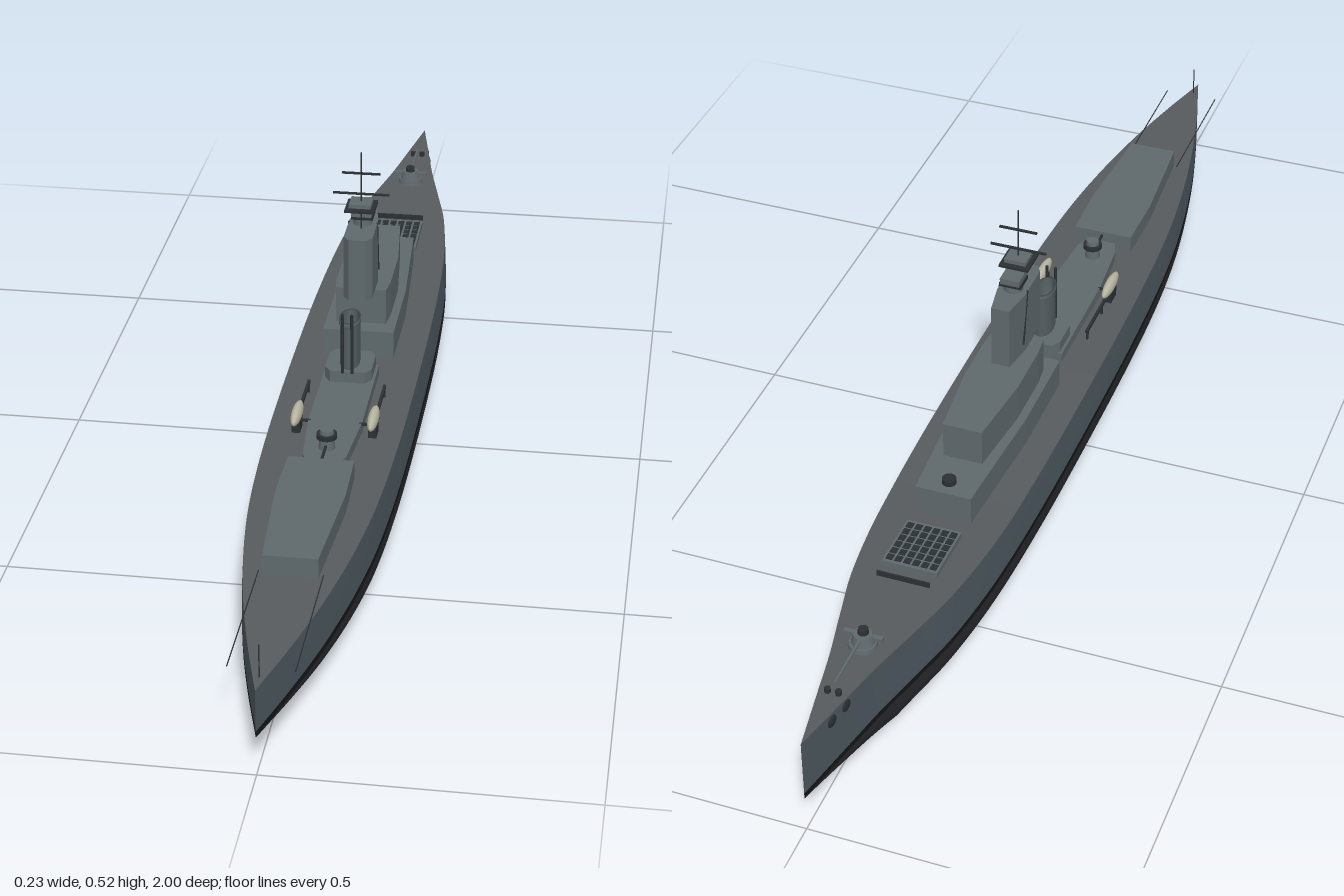
import * as THREE from 'three';

const mat = (color, side = THREE.FrontSide) => new THREE.MeshStandardMaterial({ color, side });
const M = {
  hull: mat(0x4d5960), deck: mat(0x575b5e), band: mat(0x151617), bottom: mat(0x2a2a2d),
  house: mat(0x5f696d), dark: mat(0x2b3033), boat: mat(0xb9b6a2),
};

// Half-breadth of the deck along the length, as (z, width) stations
const stations = new THREE.SplineCurve([
  [-1, 0], [-0.9, 0.02], [-0.8, 0.04], [-0.7, 0.064], [-0.6, 0.086], [-0.45, 0.103], [-0.25, 0.111], [0, 0.113],
  [0.25, 0.111], [0.45, 0.103], [0.6, 0.088], [0.75, 0.063], [0.88, 0.033], [1, 0],
].map(p => new THREE.Vector2(...p))).getPoints(78).map(p => [p.x, Math.max(p.y, 0)]);

const deckY = z => z < -0.4 ? 0.149 + 0.029 * Math.pow((-0.4 - z) / 0.6, 1.1) : 0.149 - 0.004 * Math.max(z, 0);
const keelY = z => z > 0.3 ? 0.065 * Math.pow((z - 0.3) / 0.7, 2.2) : z < -0.75 ? 0.065 * (-0.75 - z) / 0.25 : 0;

// Surface lofted through one cross-section path per station
function loft(path) {
  const pos = [], idx = [];
  let n = 0;
  stations.forEach(([z, w], i) => {
    const pts = path(z, w);
    n = pts.length;
    pts.forEach(([x, y], j) => {
      pos.push(x, y, z);
      if (i && j) {
        const d = i * n + j, c = d - 1, b = d - n, a = b - 1;
        idx.push(a, c, b, b, c, d);
      }
    });
  });
  const g = new THREE.BufferGeometry();
  g.setAttribute('position', new THREE.Float32BufferAttribute(pos, 3));
  g.setIndex(idx);
  g.computeVertexNormals();
  return g;
}

// Rounded underwater section, sharper towards the ends
function bilge(z, w) {
  const k = keelY(z), p = 0.55 + 0.45 * Math.pow(Math.abs(z), 4), pts = [];
  for (let j = 0; j <= 28; j++) {
    const a = Math.PI * j / 28, c = Math.cos(a);
    const x = j === 14 ? 0 : Math.sign(c) * Math.pow(Math.abs(c), p);
    const s = j % 28 ? Math.pow(Math.sin(a), p) : 0;
    pts.push([w * 1.035 * x, 0.065 - (0.065 - k) * s]);
  }
  return pts;
}

export function createModel() {
  const root = new THREE.Group();
  const add = (name, geo, m, x = 0, y = 0, z = 0, parent = root) => {
    const mesh = new THREE.Mesh(geo, m);
    mesh.name = name;
    mesh.position.set(x, y, z);
    parent.add(mesh);
    return mesh;
  };
  const box = (name, w, h, d, x, y, z, m = M.house, parent = root) =>
    add(name, new THREE.BoxGeometry(w, h, d), m, x, y, z, parent);
  const drum = (name, r0, r1, h, x, y, z, m = M.house, parent = root) =>
    add(name, new THREE.CylinderGeometry(r1, r0, h, 20), m, x, y, z, parent);
  // Prism from a mirrored half plan of (x, z) corners
  const house = (name, half, y0, y1, m = M.house) => {
    const plan = [...half, ...half.map(([x, z]) => [-x, z]).reverse()];
    const g = new THREE.ExtrudeGeometry(new THREE.Shape(plan.map(([x, z]) => new THREE.Vector2(x, -z))),
      { depth: y1 - y0, bevelEnabled: false });
    return add(name, g.rotateX(-Math.PI / 2), m, 0, y0, 0);
  };

  // Hull
  add('deck', loft((z, w) => [[-w, deckY(z)], [0, deckY(z)], [w, deckY(z)]]), M.deck);
  add('bottom', loft(bilge), M.bottom);
  for (const s of [1, -1]) {
    const side = pts => s > 0 ? pts : pts.map(([x, y]) => [-x, y]).reverse();
    add('hullSide', loft((z, w) => side([[w, deckY(z)], [w * 1.025, 0.11], [w * 1.035, 0.075]])), M.hull);
    add('waterlineBand', loft((z, w) => side([[w * 1.035, 0.075], [w * 1.035, 0.065]])), M.band);
    // Anchor recesses
    for (const [z, x] of [[-0.885, 0.0225], [-0.922, 0.0155]]) {
      const a = add('anchorRecess', new THREE.SphereGeometry(0.011, 16, 10), M.dark, s * x, 0.158, z);
      a.scale.set(0.28, 1, 1);
      a.rotation.y = s * 0.2;
    }
    // Stern rails
    box('sternRail', 0.0015, 0.0015, 0.26, s * 0.05, 0.149, 0.82, M.dark);
  }
  drum('flagStaff', 0.001, 0.001, 0.06, 0, 0.17, 0.965, M.dark);

  // Deckhouses
  house('sternHouse', [[0.054, 0.39], [0.056, 0.5], [0.043, 0.695]], 0.135, 0.18);
  house('midHouse', [[0.045, 0.03], [0.045, 0.24], [0.036, 0.355], [0.026, 0.38]], 0.135, 0.167);
  house('lowerBridge', [[0.062, -0.03], [0.062, -0.2], [0.048, -0.425]], 0.135, 0.2);
  house('upperBridge', [[0.044, -0.063], [0.048, -0.1], [0.048, -0.2], [0.034, -0.335]], 0.2, 0.265);

  // Tower and director
  house('tower', [[0.015, -0.015], [0.025, -0.028], [0.025, -0.1], [0.016, -0.155]], 0.265, 0.38);
  for (const s of [1, -1]) {
    const leg = box('towerStrut', 0.003, 0.1, 0.003, s * 0.0245, 0.332, -0.1, M.dark);
    leg.rotation.x = 0.2;
  }
  drum('directorBase', 0.017, 0.015, 0.02, 0, 0.388, -0.09);
  box('directorSlit', 0.038, 0.007, 0.036, 0, 0.396, -0.09, M.dark);
  box('director', 0.034, 0.011, 0.04, 0, 0.404, -0.09);
  box('mastPlatform', 0.052, 0.004, 0.052, 0, 0.421, -0.066, M.dark);
  box('mastCap', 0.038, 0.007, 0.036, 0, 0.428, -0.066);

  // Mast
  drum('mast', 0.0015, 0.001, 0.143, 0, 0.4505, -0.066, M.dark);
  box('lowerYard', 0.098, 0.003, 0.004, 0, 0.445, -0.066, M.dark);
  box('upperYard', 0.066, 0.003, 0.004, 0, 0.483, -0.066, M.dark);

  // Funnel with open top and steam pipes
  house('funnelBase', [[0.03, 0.02], [0.04, 0.035], [0.04, 0.088], [0.03, 0.102]], 0.15, 0.188);
  const r = [[0.95, 0], [1, 0.004], [1, 0.078], [1.08, 0.08], [1.08, 0.088], [0.88, 0.088], [0.88, 0.03], [0, 0.03]];
  const funnel = add('funnel', new THREE.LatheGeometry(r.map(([a, b]) => new THREE.Vector2(a * 0.017, b)), 28),
    mat(0x545e62, THREE.DoubleSide), 0, 0.187, 0.067);
  funnel.scale.z = 1.75;
  for (const s of [1, -1]) drum('steamPipe', 0.0028, 0.0028, 0.11, s * 0.008, 0.24, 0.101, M.dark);

  // Aft gun tub
  drum('aftTubBase', 0.014, 0.012, 0.022, 0, 0.176, 0.33);
  drum('aftTub', 0.017, 0.017, 0.008, 0, 0.19, 0.33, M.dark);
  drum('aftTubTop', 0.012, 0.011, 0.008, 0, 0.197, 0.33);
  box('aftGun', 0.004, 0.004, 0.05, 0, 0.176, 0.36, M.dark);

  // Boats and their booms
  for (const s of [1, -1]) {
    const boat = add('boat', new THREE.SphereGeometry(1, 20, 14), M.boat, s * 0.064, 0.177, 0.24);
    boat.scale.set(0.009, 0.013, 0.04);
    box('boatCradle', 0.014, 0.02, 0.03, s * 0.064, 0.158, 0.24, M.dark);
    box('davit', 0.025, 0.004, 0.004, s * 0.053, 0.165, 0.24, M.dark);
    box('boatBoom', 0.005, 0.005, 0.1, s * 0.065, 0.167, 0.155, M.dark);
    for (const z of [0.11, 0.19]) box('boomPost', 0.004, 0.02, 0.004, s * 0.065, 0.157, z, M.dark);
  }

  // Forward tub on the lower bridge
  drum('forwardTub', 0.012, 0.012, 0.009, 0, 0.2045, -0.397, M.dark);

  // Grated foredeck hatch and breakwater
  const hatch = new THREE.Group();
  hatch.name = 'foredeckHatch';
  hatch.position.set(0, 0.158, -0.52);
  hatch.rotation.x = 0.04;
  root.add(hatch);
  box('hatchPlate', 0.094, 0.012, 0.11, 0, 0, 0, M.house, hatch);
  for (let i = 0; i < 6; i++)
    for (let j = 0; j < 6; j++)
      box('hatchCell', 0.011, 0.002, 0.013, -0.0375 + i * 0.015, 0.0065, -0.0425 + j * 0.017, M.dark, hatch);
  box('breakwater', 0.09, 0.012, 0.003, 0, 0.161, -0.6, M.dark);

  // Bow gun
  const gun = new THREE.Group();
  gun.name = 'bowGun';
  gun.position.set(0, 0.163, -0.765);
  root.add(gun);
  drum('gunRing', 0.024, 0.022, 0.012, 0, 0.005, 0, M.house, gun);
  drum('gunHouse', 0.019, 0.015, 0.016, 0, 0.019, 0.002, M.house, gun);
  box('rangeArm', 0.064, 0.006, 0.008, 0, 0.022, 0.004, M.house, gun);
  drum('gunTop', 0.009, 0.008, 0.009, 0, 0.031, 0.004, M.dark, gun);
  add('gunBarrel', new THREE.CylinderGeometry(0.002, 0.0035, 0.1, 12).rotateX(-Math.PI / 2), M.house, 0, 0.024, -0.06, gun);
  // Capstans
  for (const s of [1, -1]) drum('capstan', 0.005, 0.005, 0.008, s * 0.009, 0.176, -0.88, M.dark);
  return root;
}
